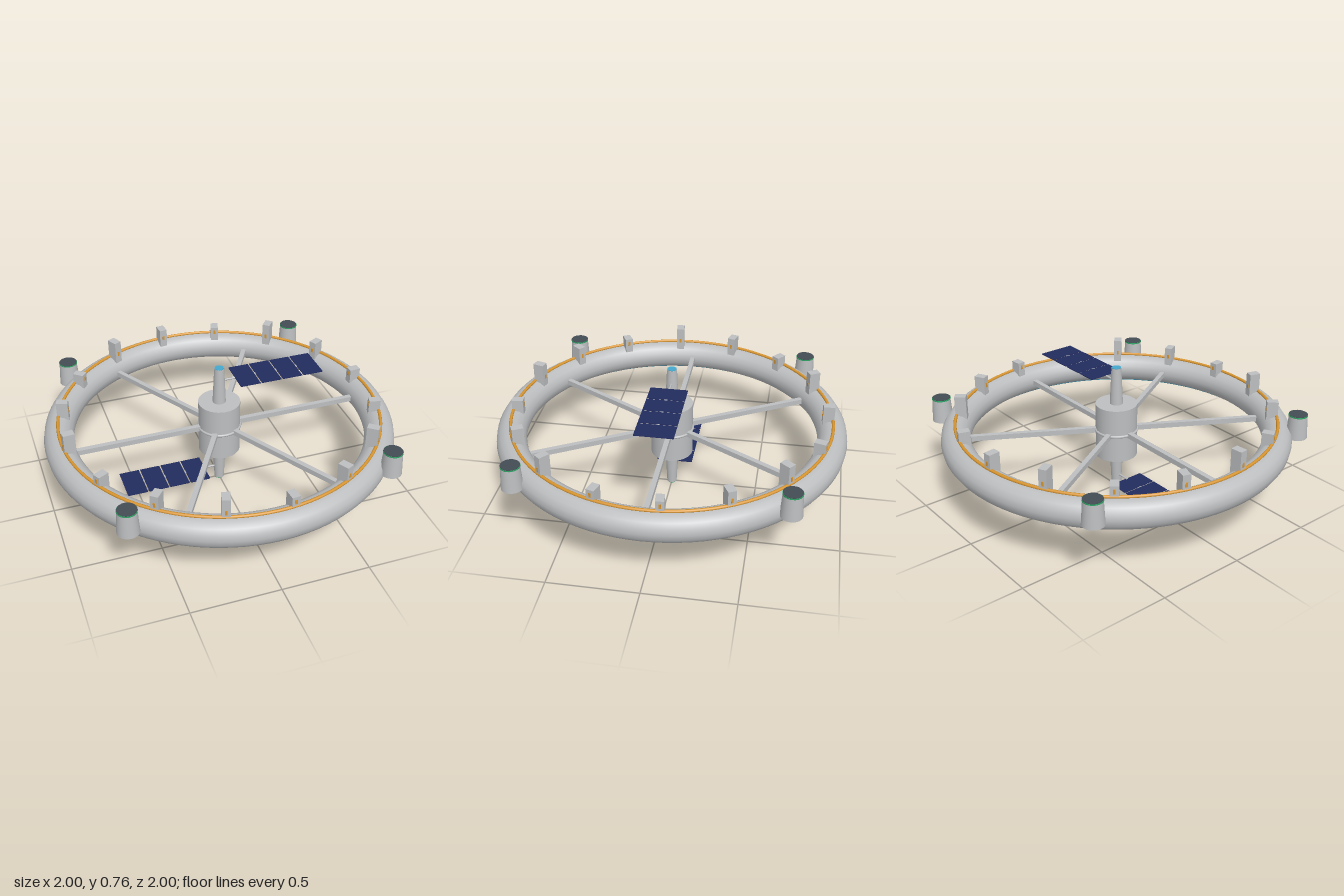
import * as THREE from 'three';

const mat = (name, color) => {
  const m = new THREE.MeshStandardMaterial({ color });
  m.name = name;
  return m;
};

export function createModel() {
  const hull = mat('hullGrey', 0xbcbec0);
  const navy = mat('solarNavy', 0x222c5e);
  const amber = mat('amber', 0xd9962f);
  const cyan = mat('cyan', 0x45a8cc);
  const green = mat('green', 0x2fa566);
  const dark = mat('darkSlate', 0x434c53);

  const root = new THREE.Group();
  root.name = 'ringStation';
  const midY = 0.38;

  const add = (parent, name, geo, material, x = 0, y = 0, z = 0) => {
    const m = new THREE.Mesh(geo, material);
    m.name = name;
    m.position.set(x, y, z);
    parent.add(m);
    return m;
  };
  const ring = (radius, tube, sides, segs) => new THREE.TorusGeometry(radius, tube, sides, segs).rotateX(Math.PI / 2);
  const cyl = (top, bottom, h, sides = 32) => new THREE.CylinderGeometry(top, bottom, h, sides);

  // Habitat ring with its light strips
  add(root, 'habitatRing', ring(0.915, 0.085, 16, 96), hull, 0, midY, 0);
  add(root, 'upperLightStrip', ring(0.915, 0.009, 8, 96), amber, 0, 0.468, 0);
  add(root, 'lowerLightStrip', ring(0.915, 0.009, 8, 96), cyan, 0, 0.292, 0);

  // Central hub
  add(root, 'hub', cyl(0.12, 0.12, 0.32), hull, 0, midY, 0);
  add(root, 'hubCollar', ring(0.12, 0.008, 8, 48), hull, 0, midY, 0);

  // Spokes
  for (let i = 0; i < 6; i++) {
    const arm = new THREE.Group();
    arm.name = 'spoke';
    arm.rotation.y = i * Math.PI / 3;
    arm.position.y = midY;
    add(arm, 'spokeBeam', new THREE.BoxGeometry(0.74, 0.03, 0.028), hull, 0.475, 0, 0);
    root.add(arm);
  }

  // Mast, boom and solar wing; the lower set is the upper one turned over
  [['upperMast', 0, cyan], ['lowerMast', Math.PI, green]].forEach(([name, turn, capColor]) => {
    const g = new THREE.Group();
    g.name = name;
    g.position.y = midY;
    g.rotation.z = turn;
    add(g, 'mast', cyl(0.028, 0.038, 0.217, 24), hull, 0, 0.2685, 0);
    add(g, 'mastCap', cyl(0.026, 0.026, 0.004, 24), capColor, 0, 0.378, 0);
    add(g, 'boom', cyl(0.006, 0.006, 0.08, 8).rotateZ(Math.PI / 2), hull, 0.06, 0.296, 0);
    for (let i = 0; i < 4; i++) {
      add(g, 'solarPanel', new THREE.BoxGeometry(0.117, 0.004, 0.21), navy, 0.15 + i * 0.1255, 0.3, 0);
      if (i < 3) add(g, 'panelHinge', new THREE.BoxGeometry(0.0085, 0.003, 0.02), hull, 0.2128 + i * 0.1255, 0.3, 0);
    }
    root.add(g);
  });

  // Deck modules around the ring, in three repeating heights
  const tops = [0.53, 0.58, 0.555];
  for (let i = 0; i < 16; i++) {
    const g = new THREE.Group();
    g.name = 'deckModule';
    g.rotation.y = -(i + 0.75) * Math.PI / 8;
    const top = tops[i % 3], base = 0.44;
    add(g, 'moduleBody', new THREE.BoxGeometry(0.065, top - base, 0.046), hull, 0.888, (top + base) / 2, 0);
    for (const s of [-1, 1]) {
      add(g, 'moduleWindow', new THREE.BoxGeometry(0.003, 0.026, 0.012), amber, 0.888 + s * 0.0335, 0.5, 0);
    }
    root.add(g);
  }

  // Docking ports on the outer rim
  for (const x of [-0.725, 0.725]) {
    for (const z of [-0.725, 0.725]) {
      const g = new THREE.Group();
      g.name = 'dockingPort';
      g.position.set(x, 0, z);
      add(g, 'portBody', cyl(0.052, 0.06, 0.134, 24), hull, 0, 0.449, 0);
      add(g, 'portRing', cyl(0.054, 0.054, 0.007, 24), green, 0, 0.5185, 0);
      add(g, 'portHatch', cyl(0.052, 0.052, 0.003, 24), dark, 0, 0.5225, 0);
      root.add(g);
    }
  }
  return root;
}
